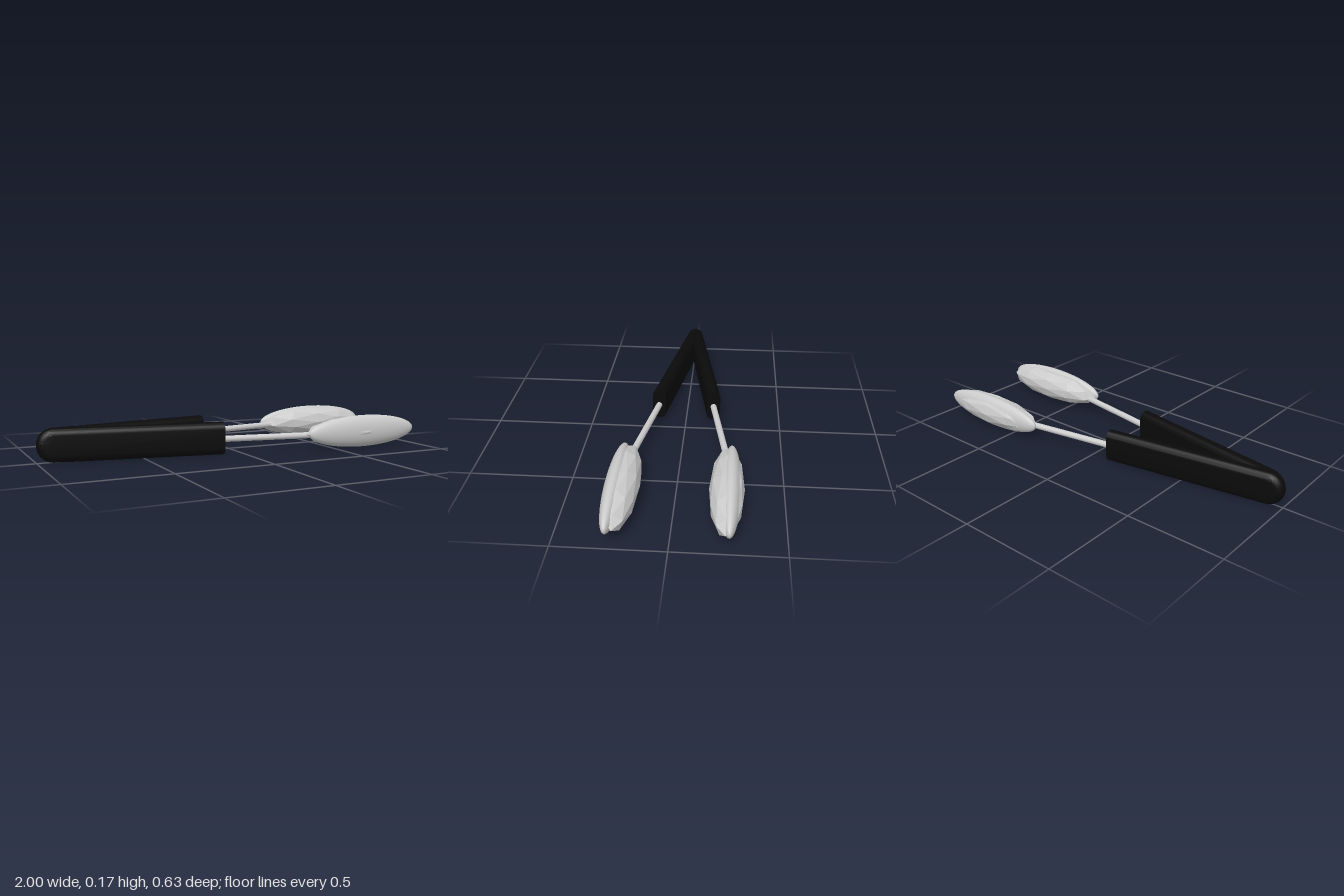
import * as THREE from 'three';
import { toCreasedNormals } from 'three/addons/utils/BufferGeometryUtils.js';

const SPREAD = THREE.MathUtils.degToRad(9.6); // angle of each arm from the centre line
const HANDLE = 0.83;                          // hinge centre to handle end

const black = new THREE.MeshStandardMaterial({ color: 0x0a0a0a });
const grey = new THREE.MeshStandardMaterial({ color: 0xcccccc });
const facetedGrey = new THREE.MeshStandardMaterial({ color: 0xcccccc, flatShading: true });

function addMesh(parent, name, geometry, material) {
  const mesh = new THREE.Mesh(geometry, material);
  mesh.name = name;
  parent.add(mesh);
  return mesh;
}

// Flat bar with fully rounded edges and a round hinge end, cut square at the other end
function handleGeometry() {
  const core = 0.0475, edge = 0.035;
  const shape = new THREE.Shape();
  shape.moveTo(0, -core);
  shape.lineTo(HANDLE + 0.1, -core);
  shape.lineTo(HANDLE + 0.1, core);
  shape.lineTo(0, core);
  shape.absarc(0, 0, core, Math.PI / 2, Math.PI * 1.5, false);
  const geometry = new THREE.ExtrudeGeometry(shape, {
    depth: 0.002, bevelSize: edge, bevelThickness: edge, bevelSegments: 8, curveSegments: 24,
  });
  geometry.translate(0, 0, -0.001);
  const p = geometry.attributes.position;
  for (let i = 0; i < p.count; i++) p.setX(i, Math.min(p.getX(i), HANDLE));
  return toCreasedNormals(geometry, 0.7);
}

// Faceted ball with one corner pointing along x
function facetedBall() {
  const geometry = new THREE.IcosahedronGeometry(1, 1);
  geometry.rotateZ(-Math.atan2((1 + Math.sqrt(5)) / 2, 1));
  return geometry;
}

function createArm(side) {
  const arm = new THREE.Group();
  arm.name = side > 0 ? 'frontArm' : 'backArm';
  arm.position.set(-0.9175, 0.0825, side * 0.0075);
  arm.rotation.y = -side * SPREAD;

  addMesh(arm, 'handle', handleGeometry(), black);

  const rod = addMesh(arm, 'rod', new THREE.CylinderGeometry(0.016, 0.016, 0.54, 24), grey);
  rod.rotation.z = Math.PI / 2;
  rod.position.set(1.07, -0.005, 0);
  return arm;
}

// Each head is a faceted core with a thin smooth shell on its outer side
function createHead(side) {
  const head = new THREE.Group();
  head.name = side > 0 ? 'frontHead' : 'backHead';

  const core = addMesh(head, 'facetedCore', facetedBall(), facetedGrey);
  core.scale.set(0.325, 0.083, 0.08);
  core.position.set(0.66, 0.084, side * 0.235);

  const shell = addMesh(head, 'smoothShell', new THREE.SphereGeometry(1, 48, 32), grey);
  shell.scale.set(0.332, 0.084, 0.047);
  shell.position.set(side > 0 ? 0.666 : 0.657, 0.0875, side > 0 ? 0.265 : -0.252);
  return head;
}

export function createModel() {
  const model = new THREE.Group();
  model.name = 'tongs';
  for (const side of [1, -1]) model.add(createArm(side), createHead(side));
  return model;
}
